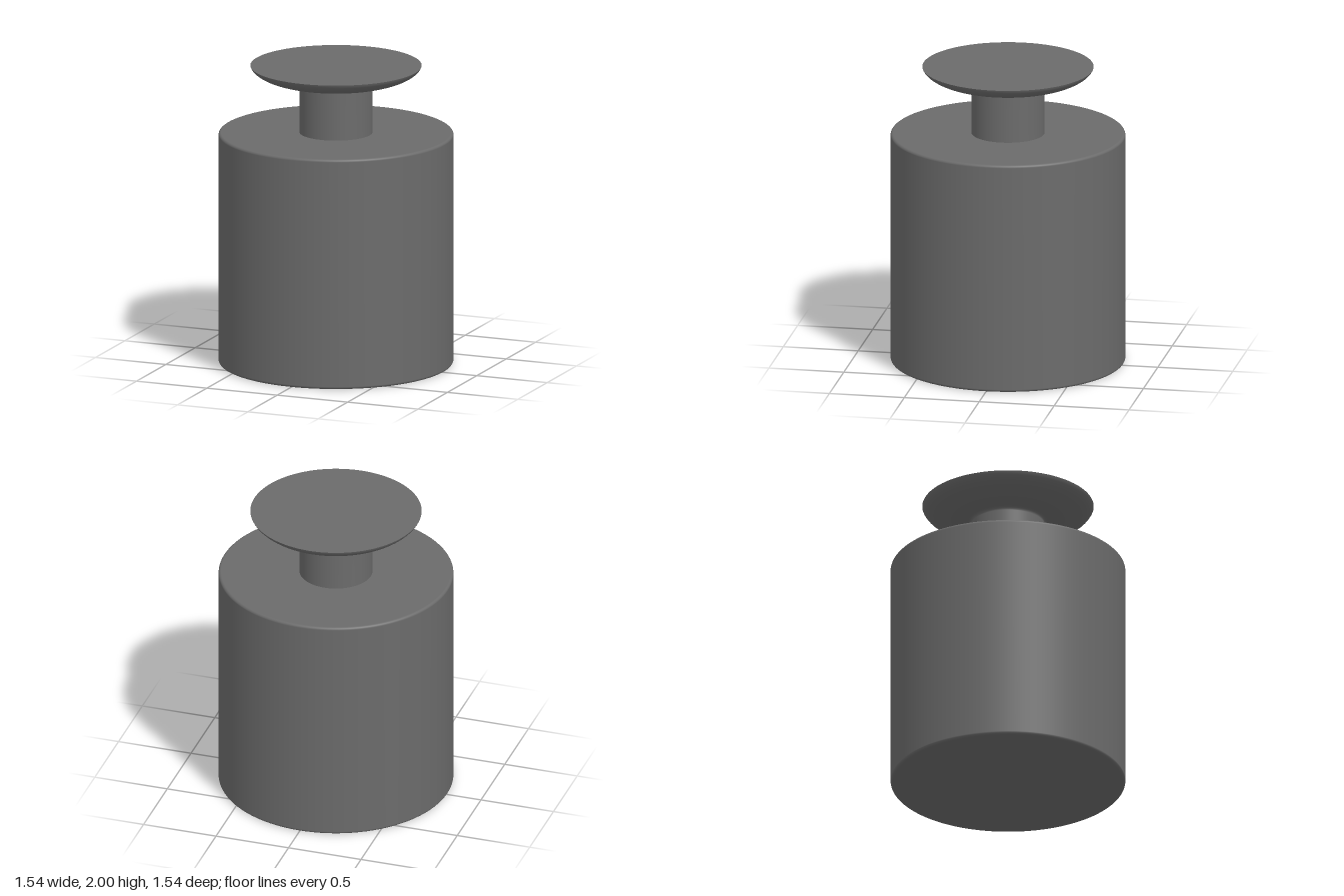
import * as THREE from 'three';

const SEGMENTS = 128;

// Revolved solid from a path drawn bottom to top; a repeated point makes a sharp edge
function revolve(name, points, material) {
  const mesh = new THREE.Mesh(new THREE.LatheGeometry(points, SEGMENTS), material);
  mesh.name = name;
  return mesh;
}

// Points along a circular arc
function arc(cx, cy, r, from, to, steps = 6) {
  return Array.from({ length: steps + 1 }, (_, i) => {
    const a = from + (to - from) * i / steps;
    return new THREE.Vector2(cx + r * Math.cos(a), cy + r * Math.sin(a));
  });
}

export function createModel() {
  const group = new THREE.Group();
  group.name = 'calibrationWeight';
  const material = new THREE.MeshStandardMaterial({ color: 0x6b6b6b });
  const V = (x, y) => new THREE.Vector2(x, y);
  const H = Math.PI / 2;

  // Cylindrical body with small rounded rims
  const R = 0.77, top = 1.55, rim = 0.018;
  group.add(revolve('body', [
    V(0, 0),
    ...arc(R - rim, rim, rim, -H, 0),
    ...arc(R - rim, top - rim, rim, 0, H),
    V(0, top),
  ], material));

  // Neck, filleted into the dished underside of a flat-topped cap
  const neck = 0.24, fillet = 0.022;
  const underside = new THREE.CubicBezierCurve(
    V(neck + fillet, 1.887), V(0.4, 1.895), V(0.54, 1.935), V(0.562, 2));
  group.add(revolve('neckAndCap', [
    V(neck, top),
    ...arc(neck + fillet, 1.887 - fillet, fillet, Math.PI, H),
    ...underside.getPoints(24).slice(1),
    V(0.562, 2),
    V(0, 2),
  ], material));

  return group;
}
